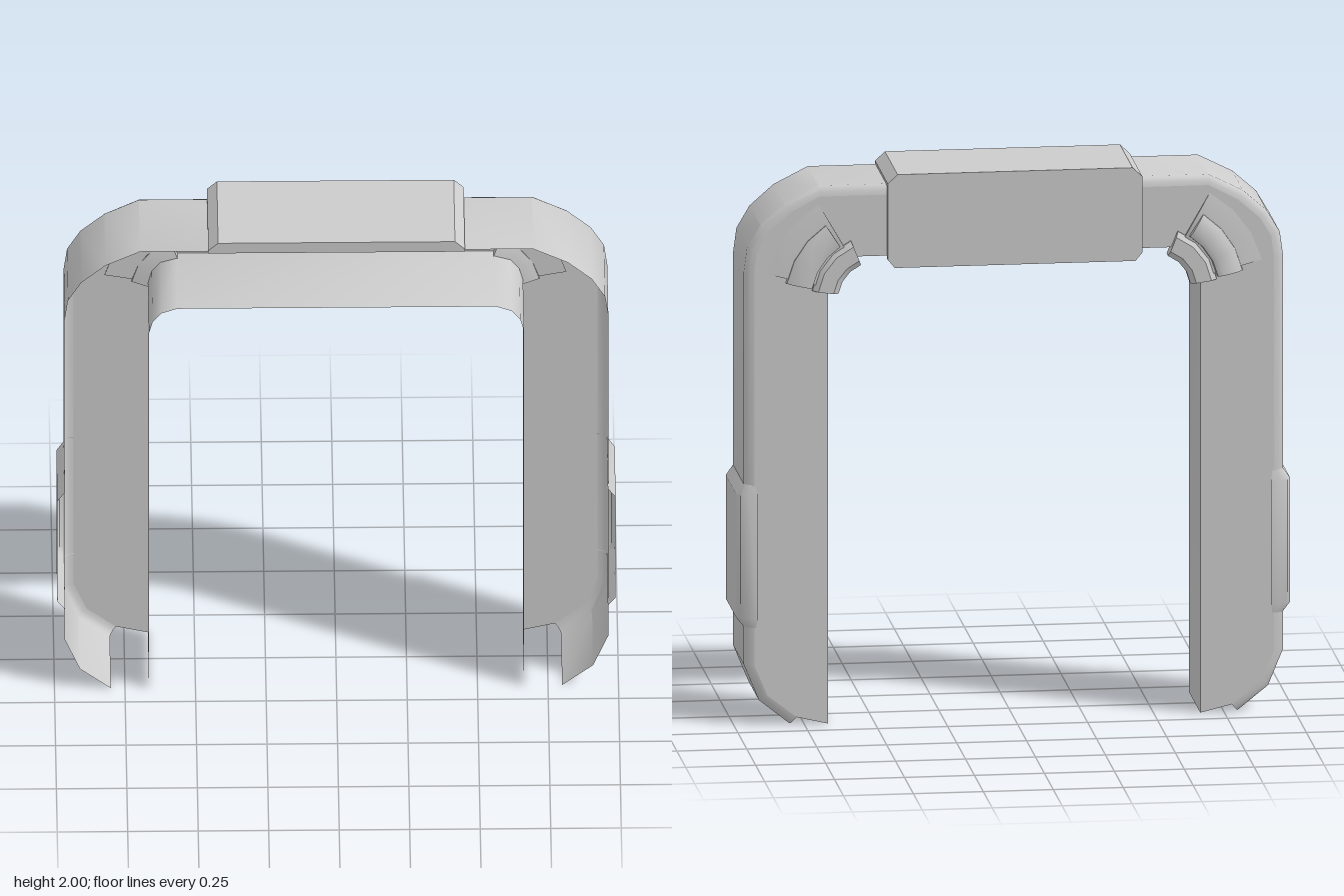
import * as THREE from 'three';
import { mergeGeometries, toCreasedNormals } from 'three/addons/utils/BufferGeometryUtils.js';

const material = new THREE.MeshStandardMaterial({ color: 0xcccccc, side: THREE.DoubleSide });

function addMesh(group, name, geometry, crease = 0.6) {
  const mesh = new THREE.Mesh(toCreasedNormals(geometry, crease), material);
  mesh.name = name;
  group.add(mesh);
  return mesh;
}

// Skin a surface through rows of [x, y, z] points
function skin(rows) {
  const n = rows[0].length, index = [];
  for (let r = 0; r < rows.length - 1; r++) {
    for (let i = 0; i < n - 1; i++) {
      const a = r * n + i, b = a + n;
      index.push(a, b, a + 1, a + 1, b, b + 1);
    }
  }
  const g = new THREE.BufferGeometry();
  g.setAttribute('position', new THREE.Float32BufferAttribute(rows.flat(2), 3));
  g.setIndex(index);
  return g.toNonIndexed();
}

// Move an open path sideways towards the inside of the arch
function inset(path, d) {
  return path.map((p, i) => {
    const a = path[Math.max(i - 1, 0)], b = path[Math.min(i + 1, path.length - 1)];
    const dx = b[0] - a[0], dy = b[1] - a[1], l = Math.hypot(dx, dy);
    return [p[0] + dy / l * d, p[1] - dx / l * d];
  });
}

const shapeOf = pts => new THREE.Shape(pts.map(p => new THREE.Vector2(p[0], p[1])));
const mirrorPath = half => [...half, ...half.map(([x, y]) => [-x, y]).reverse()];
const atZ = (path, z) => path.map(([x, y]) => [x, y, z]);

function slab(pts, z0, z1) {
  const g = new THREE.ExtrudeGeometry(shapeOf(pts), { depth: z1 - z0, bevelEnabled: false });
  return g.translate(0, 0, z0);
}

export function createModel() {
  const model = new THREE.Group();
  model.name = 'archFrame';

  // Arch outlines, from the foot of one leg over the top to the other
  const outer = mirrorPath([
    [-0.8, 0], [-0.91, 0.088], [-0.964, 0.22], [-0.964, 1.65], [-0.952, 1.74],
    [-0.905, 1.82], [-0.82, 1.895], [-0.697, 1.957],
  ]);
  const inner = mirrorPath([
    [-0.665, 0], [-0.665, 1.59], [-0.652, 1.64], [-0.62, 1.68], [-0.565, 1.7],
  ]);

  // Outer wall with its rounded rear edge, and the inner wall; open at the front
  const rim = inset(outer, 0.035);
  addMesh(model, 'outerWall', skin([
    atZ(outer, 0.17), atZ(outer, -0.13), atZ(inset(outer, 0.008), -0.142),
    atZ(inset(outer, 0.02), -0.149), atZ(rim, -0.152),
  ]));
  addMesh(model, 'innerWall', skin([atZ(inner, -0.152), atZ(inner, 0.17)]));

  // Rear plate between the two walls
  const plate = new THREE.ShapeGeometry(shapeOf([...rim, ...[...inner].reverse()]));
  plate.translate(0, 0, -0.152);
  addMesh(model, 'rearPlate', plate.toNonIndexed());

  // Cover over the middle of the top: a top slab and a rear slab
  addMesh(model, 'topCover', slab(
    [[-0.455, 1.955], [0.455, 1.955], [0.455, 1.967], [0.42, 2], [-0.42, 2], [-0.455, 1.967]], -0.178, 0.18));
  addMesh(model, 'rearCover', slab(
    [[-0.43, 1.66], [0.43, 1.66], [0.455, 1.69], [0.455, 1.967], [0.42, 2],
      [-0.42, 2], [-0.455, 1.967], [-0.455, 1.69]], -0.178, -0.153));

  for (const side of [1, -1]) {
    const prefix = side > 0 ? 'left' : 'right';

    // Side guard wrapping from the outer wall round to the rear
    const full = [[0.99, 0.17], [0.99, -0.125], [0.978, -0.146], [0.95, -0.159], [0.917, -0.158]];
    const low = [[0.962, 0.17], [0.962, -0.13], [0.955, -0.142], [0.942, -0.149], [0.923, -0.152]];
    const rows = [[low, 0.355], [full, 0.39], [full, 0.84], [low, 0.88]]
      .map(([section, y]) => section.map(([x, z]) => [side * x, y, z]));
    addMesh(model, prefix + 'SideGuard', skin(rows));

    // Curved corner bands, stepped, centred on the inner corner
    const band = (section, from, to) => {
      const steps = 3, rings = [];
      for (let i = 0; i <= steps; i++) {
        const a = THREE.MathUtils.degToRad(from + (to - from) * i / steps);
        rings.push([...section, section[0]].map(([r, z]) =>
          [side * (0.5 + r * Math.cos(a)), 1.55 + r * Math.sin(a), z]));
      }
      const caps = [rings[0], rings[steps]].map(ring => {
        const mid = [0, 1, 2].map(k => ring.slice(1).reduce((s, p) => s + p[k], 0) / section.length);
        return skin([ring, ring.map(() => mid)]);
      });
      return mergeGeometries([skin(rings), ...caps]);
    };
    addMesh(model, prefix + 'CornerBand', band(
      [[0.325, -0.142], [0.32, -0.165], [0.3, -0.178], [0.25, -0.187], [0.23, -0.18], [0.225, -0.142]], 11, 57));
    addMesh(model, prefix + 'CornerPad', band(
      [[0.225, -0.142], [0.225, -0.16], [0.205, -0.176], [0.15, -0.176], [0.13, -0.16], [0.13, -0.12], [0.16, -0.12]], 8, 68));
    // Low swell under the bands
    addMesh(model, prefix + 'CornerSwell', band(
      [[0.41, -0.15], [0.34, -0.161], [0.2, -0.164], [0.17, -0.15]], 14, 60));
  }
  return model;
}
